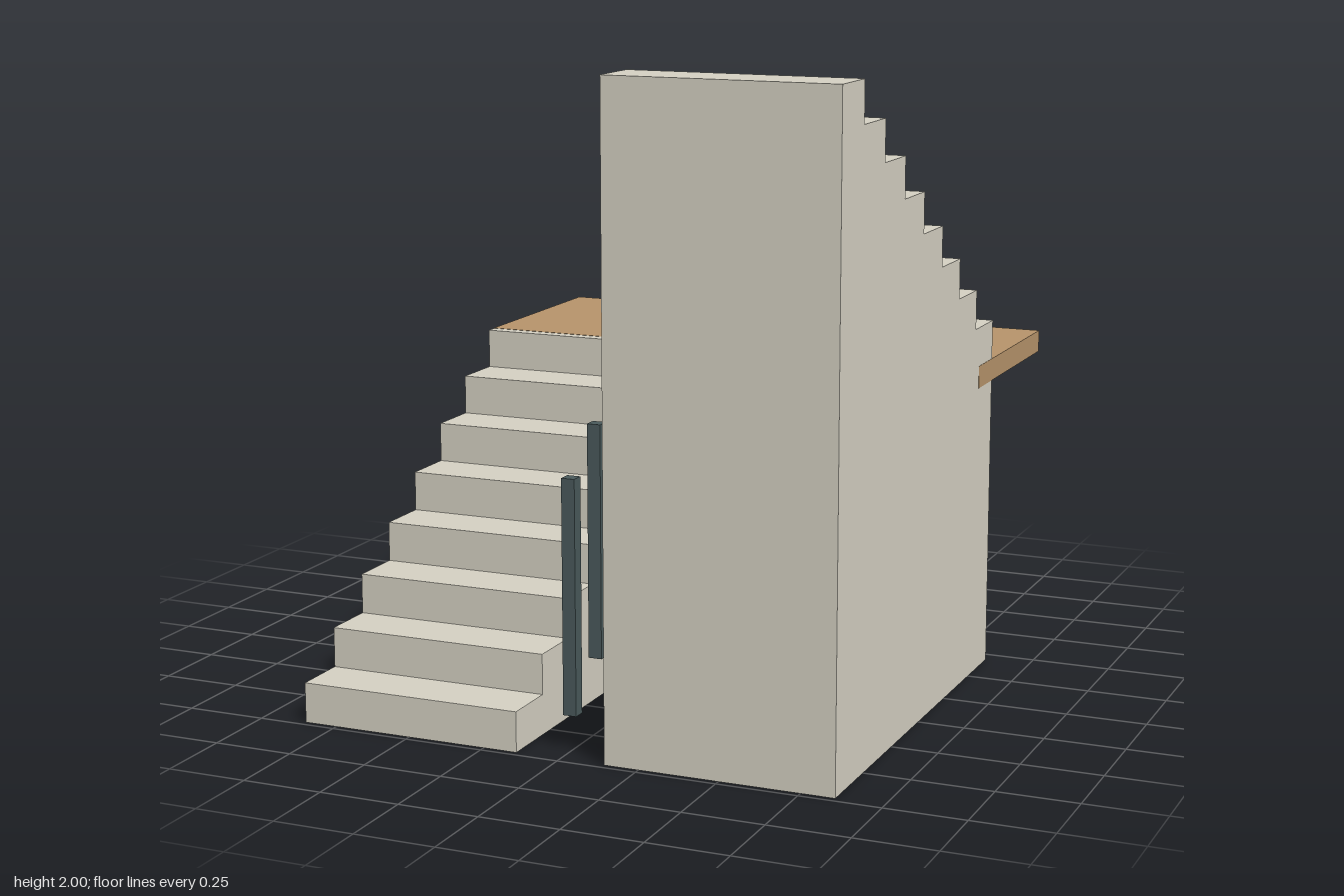
import * as THREE from 'three';

const STEPS = 8, RISE = 0.125, FRONT = 0.98, BACK = -0.445;
const GOING = (FRONT - BACK) / STEPS;

export function createModel() {
  const model = new THREE.Group();
  const stone = new THREE.MeshStandardMaterial({ color: 0xd6d2c4 });
  const wood = new THREE.MeshStandardMaterial({ color: 0xb8956c });
  const metal = new THREE.MeshStandardMaterial({ color: 0x4a5a5c });

  const add = (name, geometry, material, x = 0, y = 0, z = 0) => {
    const mesh = new THREE.Mesh(geometry, material);
    mesh.name = name;
    mesh.position.set(x, y, z);
    model.add(mesh);
  };

  // Solid flight: stepped side profile (z, y), extruded across its width
  const flight = (start, end, baseHeight) => {
    const dir = Math.sign(end - start);
    const profile = new THREE.Shape();
    profile.moveTo(start, 0);
    for (let i = 0; i < STEPS; i++) {
      const y = baseHeight + (i + 1) * RISE;
      profile.lineTo(start + dir * i * GOING, y);
      profile.lineTo(start + dir * (i + 1) * GOING, y);
    }
    profile.lineTo(end, 0);
    profile.closePath();
    return new THREE.ExtrudeGeometry(profile, { depth: 0.713, bevelEnabled: false })
      .rotateY(-Math.PI / 2);
  };

  // Lower flight climbs to the back, upper flight returns to the front
  add('lowerFlight', flight(FRONT, BACK, 0), stone, -0.142);
  add('upperFlight', flight(BACK, FRONT, 1), stone, 0.855);

  // Landing, a hair proud of the steps it overlaps
  add('landing', new THREE.BoxGeometry(1.712, 0.071, 0.677), wood, 0, 0.9655, -0.6435);

  // Balusters between the flights, rising with the lower steps
  const post = new THREE.BoxGeometry(0.042, 0.715, 0.042);
  for (let i = 0; i < STEPS - 1; i++) {
    add('baluster' + (i + 1), post, metal, 0, 0.4675 + i * RISE, FRONT - (i + 0.5) * GOING);
  }
  return model;
}
